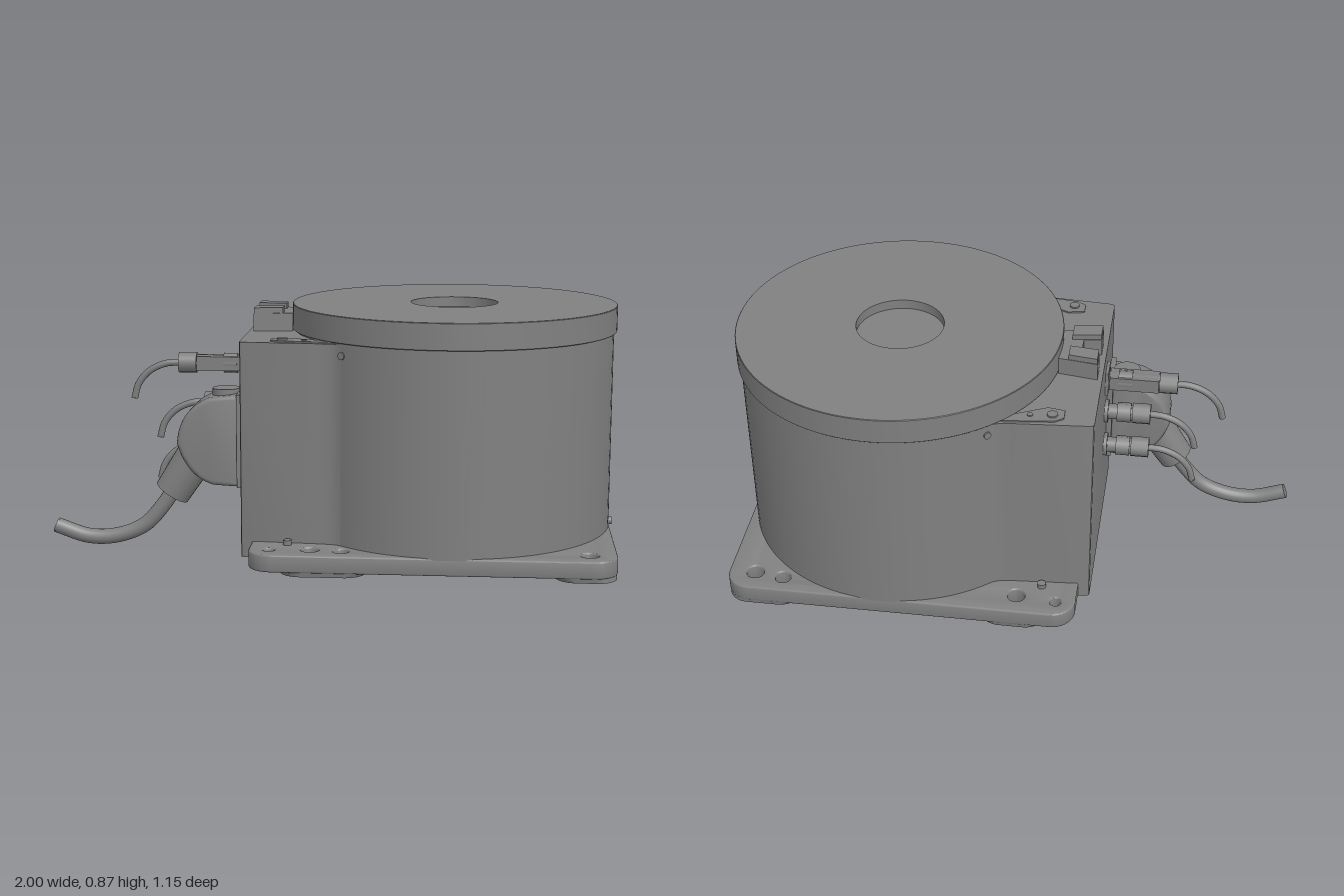
import * as THREE from 'three';
import { toCreasedNormals } from 'three/addons/utils/BufferGeometryUtils.js';

const grey = new THREE.MeshStandardMaterial({ color: 0x808080 });
const V = (x, y, z) => new THREE.Vector3(x, y, z);

export function createModel() {
  const root = new THREE.Group();

  const add = (name, geo, x = 0, y = 0, z = 0, parent = root) => {
    const m = new THREE.Mesh(geo, grey);
    m.name = name;
    m.position.set(x, y, z);
    parent.add(m);
    return m;
  };
  const box = (name, x0, x1, y0, y1, z0, z1, parent) =>
    add(name, new THREE.BoxGeometry(x1 - x0, y1 - y0, z1 - z0),
      (x0 + x1) / 2, (y0 + y1) / 2, (z0 + z1) / 2, parent);
  // Cylinder between two points
  const rod = (name, a, b, r0, r1 = r0, parent = root, sides = 28) => {
    const m = add(name, new THREE.CylinderGeometry(r1, r0, a.distanceTo(b), sides), 0, 0, 0, parent);
    m.position.lerpVectors(a, b, 0.5);
    m.quaternion.setFromUnitVectors(V(0, 1, 0), b.clone().sub(a).normalize());
  };
  // Outline in x/z, extruded from y0 up to y1
  const slab = (shape, y0, y1, bevel = 0) => {
    const g = new THREE.ExtrudeGeometry(shape, {
      depth: y1 - y0 - 2 * bevel, bevelEnabled: bevel > 0, bevelSize: bevel,
      bevelThickness: bevel, bevelOffset: -bevel, bevelSegments: 3, curveSegments: 16
    });
    g.rotateX(Math.PI / 2).translate(0, y1 - bevel, 0);
    return g;
  };
  const polygon = pts => new THREE.Shape(pts.map(p => new THREE.Vector2(p[0], p[1])));
  const roundRect = (x0, x1, z0, z1, r) => {
    const s = new THREE.Shape();
    s.absarc(x1 - r, z1 - r, r, 0, Math.PI / 2);
    s.absarc(x0 + r, z1 - r, r, Math.PI / 2, Math.PI);
    s.absarc(x0 + r, z0 + r, r, Math.PI, Math.PI * 1.5);
    s.absarc(x1 - r, z0 + r, r, Math.PI * 1.5, Math.PI * 2);
    return s;
  };
  const drill = (shape, holes) => {
    for (const [x, z, r] of holes) {
      const h = new THREE.Path();
      h.absarc(x, z, r, 0, Math.PI * 2, true);
      shape.holes.push(h);
    }
    return shape;
  };

  // Base plate with mounting holes
  const smallHoles = [[-0.195, -0.49, 0.02], [-0.195, 0.485, 0.02]];
  const feet = [
    { x: [-0.18, 0.09], side: -1, holes: [[-0.055, -0.475, 0.031]] },
    { x: [-0.18, 0.16], side: 1, holes: [[-0.055, 0.475, 0.031], [0.052, 0.485, 0.028]] },
    { x: [0.68, 0.983], side: -1, holes: [[0.89, -0.475, 0.031], [0.785, -0.49, 0.028]] },
    { x: [0.74, 0.983], side: 1, holes: [[0.89, 0.475, 0.031]] }
  ];
  const plate = drill(roundRect(-0.265, 0.985, -0.562, 0.562, 0.085),
    [...smallHoles, ...feet.flatMap(f => f.holes)]);
  add('basePlate', toCreasedNormals(slab(plate, 0.015, 0.076, 0.006), 0.6));

  // Corner feet, flush with the plate edge and sloping on their inner sides
  for (const { x: [x0, x1], side, holes } of feet) {
    const z = [side * 0.265, side * 0.56].sort((a, b) => a - b);
    const g = slab(drill(roundRect(x0, x1, ...z, 0.085), holes), 0, 0.022);
    const p = g.attributes.position;
    const ax = x1 > 0.9 ? x1 : (x0 + x1) / 2;
    for (let i = 0; i < p.count; i++) {
      const px = p.getX(i), pz = p.getZ(i);
      const onHole = holes.some(h => Math.hypot(px - h[0], pz - h[1]) < h[2] + 0.005);
      if (p.getY(i) < 0.01 && !onHole) {
        p.setX(i, ax + (px - ax) * 0.86);
        p.setZ(i, side * 0.556 + (pz - side * 0.56) * 0.86);
      }
    }
    g.computeVertexNormals();
    add('foot', toCreasedNormals(g, 0.5));
  }

  // Round body and the turning disc with its centre recess
  const cx = 0.42;
  add('drum', new THREE.CylinderGeometry(0.565, 0.565, 0.72, 96), cx, 0.43, 0);
  const disc = [[0, 0.778], [0.574, 0.778], [0.576, 0.78], [0.576, 0.868], [0.574, 0.87],
    [0.155, 0.87], [0.155, 0.835], [0, 0.835]].map(p => new THREE.Vector2(...p));
  add('turntable', toCreasedNormals(new THREE.LatheGeometry(disc, 96), 0.5), cx, 0, 0);
  rod('rightPort', V(0.97, 0.08, 0), V(0.997, 0.08, 0), 0.014);

  // Rear housing, blended softly into the drum
  const flank = [[-0.305, 0.368], [-0.302, 0.377], [-0.293, 0.382], [-0.03, 0.401],
    [0.01, 0.406], [0.035, 0.415], [0.06, 0.434], [0.2, 0.3]];
  const housing = polygon([...flank, ...flank.map(p => [p[0], -p[1]]).reverse()]);
  add('connectionHousing', toCreasedNormals(slab(housing, 0.018, 0.772), 0.65));

  // Mirrored lid pads and screws
  for (const s of [-1, 1]) {
    const pts = [[-0.2, 0.31], [-0.2, 0.355], [-0.17, 0.375], [0.0, 0.395], [0.03, 0.38], [-0.14, 0.3]];
    const pad = polygon(pts.map(p => [p[0], s * p[1]]));
    add('lidPad', slab(pad, 0.765, 0.777));
    rod('lidScrew', V(-0.16, 0.77, s * 0.342), V(-0.16, 0.783, s * 0.342), 0.018);
    rod('lidScrew', V(-0.085, 0.77, s * 0.35), V(-0.085, 0.78, s * 0.35), 0.01);
    rod('baseScrew', V(-0.138, 0.07, s * 0.418), V(-0.138, 0.093, s * 0.418), 0.015);
    rod('drumScrew', V(0.054, 0.735, s * 0.42), V(0.046, 0.735, s * 0.432), 0.013);
  }

  // Notched stop block on the lid
  const stop = polygon([[-0.288, -0.11], [-0.15, -0.088], [-0.15, 0.088], [-0.288, 0.11],
    [-0.288, 0.045], [-0.225, 0.036], [-0.225, -0.036], [-0.288, -0.045]]);
  add('stopBlock', slab(stop, 0.76, 0.835));
  for (const s of [-1, 1]) {
    const ear = [[-0.286, 0.047], [-0.286, 0.107], [-0.185, 0.092], [-0.185, 0.034]];
    add('stopEar', slab(polygon(ear.map(p => [p[0], s * p[1]])), 0.83, 0.855));
  }

  // Small plugs with drooping leads
  const plug = (name, y, z, end) => {
    const g = new THREE.Group();
    g.name = name;
    root.add(g);
    rod('socketRing', V(-0.3, y, z), V(-0.318, y, z), 0.042, 0.042, g);
    rod('barrel', V(-0.31, y, z), V(end + 0.05, y, z), 0.028, 0.028, g);
    rod('collar', V(-0.35, y, z), V(-0.4, y, z), 0.036, 0.036, g, 8);
    rod('nut', V(end + 0.065, y, z), V(end, y, z), 0.037, 0.037, g, 12);
    const path = new THREE.CatmullRomCurve3([V(end + 0.01, y, z), V(end - 0.05, y - 0.005, z),
      V(end - 0.11, y - 0.033, z), V(end - 0.15, y - 0.08, z), V(end - 0.165, y - 0.13, z)]);
    add('lead', new THREE.TubeGeometry(path, 24, 0.012, 12), 0, 0, 0, g);
    rod('leadEnd', V(end - 0.1645, y - 0.128, z), V(end - 0.1652, y - 0.132, z), 0.012, 0.012, g);
    return g;
  };
  const top = plug('topPlug', 0.652, 0.075, -0.562);
  box('flange', -0.316, -0.3, 0.605, 0.7, 0.035, 0.115, top);
  box('plugBody', -0.495, -0.32, 0.627, 0.678, 0.042, 0.108, top);
  plug('middlePlug', 0.51, 0.075, -0.47);
  plug('lowerPlug', 0.36, 0.075, -0.47);

  // Power connector: mounting flange, hood, latch and angled gland
  const power = new THREE.Group();
  power.name = 'powerConnector';
  root.add(power);
  box('flange', -0.325, -0.3, 0.25, 0.578, 0.15, 0.32, power);
  const profile = new THREE.Shape();
  profile.moveTo(-0.32, 0.25);
  profile.lineTo(-0.32, 0.575);
  profile.lineTo(-0.42, 0.565);
  profile.quadraticCurveTo(-0.53, 0.52, -0.537, 0.4);
  profile.quadraticCurveTo(-0.5, 0.28, -0.41, 0.255);
  const hood = new THREE.ExtrudeGeometry(profile, {
    depth: 0.126, bevelSize: 0.015, bevelThickness: 0.015, bevelOffset: -0.015, bevelSegments: 3
  });
  add('hood', toCreasedNormals(hood, 0.6), 0, 0, 0.173, power);
  rod('topCap', V(-0.37, 0.54, 0.235), V(-0.37, 0.59, 0.235), 0.048, 0.048, power);
  rod('latchBar', V(-0.305, 0.575, 0.205), V(-0.375, 0.575, 0.205), 0.012, 0.012, power);
  rod('gland', V(-0.45, 0.39, 0.237), V(-0.567, 0.212, 0.237), 0.072, 0.064, power);

  // Power cable sweeping down and outwards
  const cable = new THREE.CatmullRomCurve3([V(-0.55, 0.24, 0.237), V(-0.6, 0.165, 0.237),
    V(-0.67, 0.09, 0.237), V(-0.77, 0.05, 0.237), V(-0.87, 0.046, 0.237), V(-0.986, 0.083, 0.237)]);
  add('powerCable', new THREE.TubeGeometry(cable, 48, 0.027, 20), 0, 0, 0, power);
  rod('cableEnd', V(-0.983, 0.082, 0.237), V(-0.988, 0.084, 0.237), 0.027, 0.027, power);

  return root;
}
